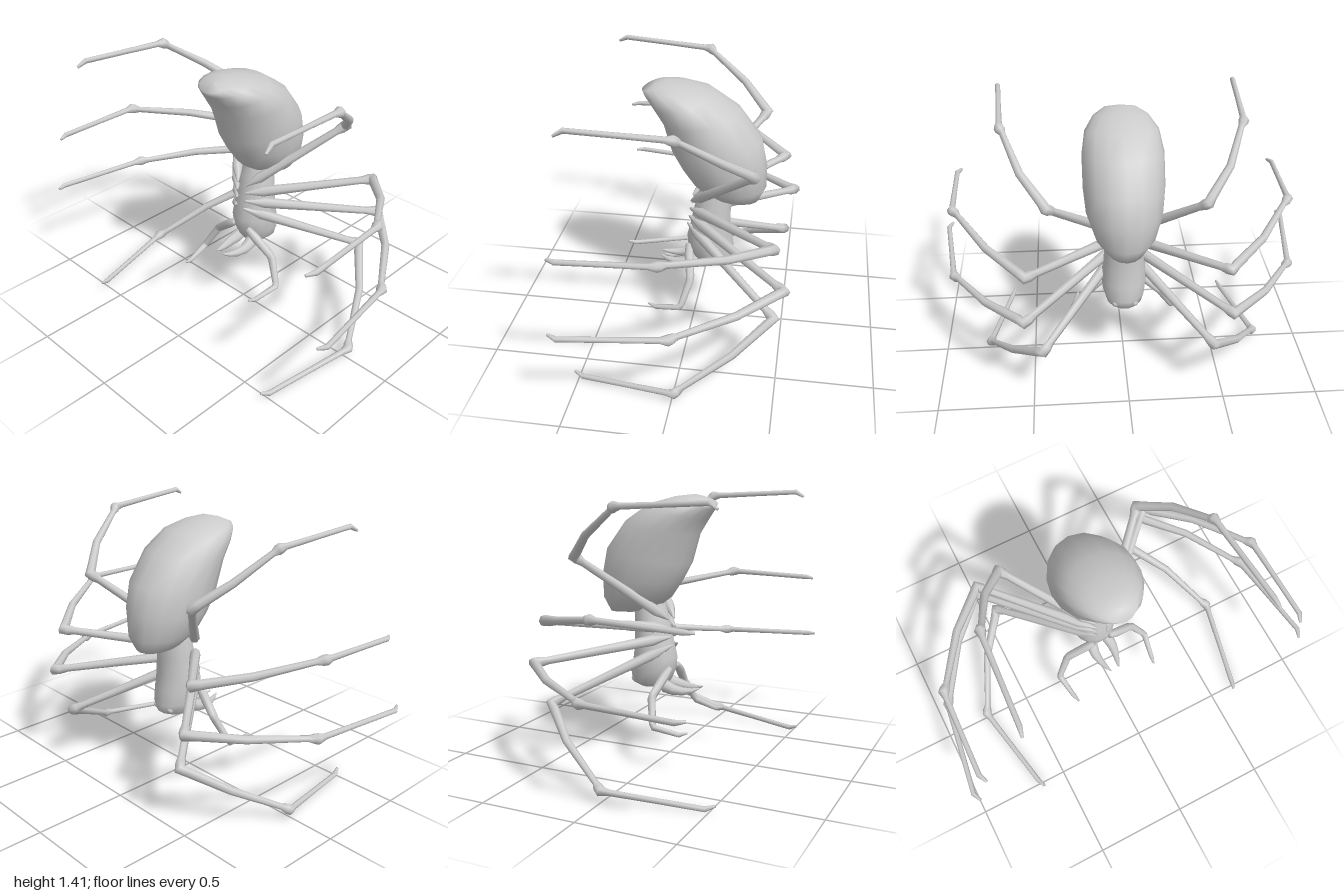
import * as THREE from 'three';

const material = new THREE.MeshStandardMaterial({ color: 0xcccccc });
const V = (x, y, z) => new THREE.Vector3(x, y, z);

// Skin over elliptical rings { c: centre, u, v: half axes }
function loft(rings, sides) {
  const pos = [], index = [];
  for (const { c, u, v } of rings) {
    for (let j = 0; j < sides; j++) {
      const a = (j / sides) * Math.PI * 2;
      const p = c.clone().addScaledVector(u, Math.cos(a)).addScaledVector(v, Math.sin(a));
      pos.push(p.x, p.y, p.z);
    }
  }
  for (let i = 0; i < rings.length - 1; i++) {
    for (let j = 0; j < sides; j++) {
      const k = (j + 1) % sides;
      const a = i * sides + j, b = i * sides + k;
      index.push(a, b, b + sides, a, b + sides, a + sides);
    }
  }
  const g = new THREE.BufferGeometry();
  g.setAttribute('position', new THREE.Float32BufferAttribute(pos, 3));
  g.setIndex(index);
  g.computeVertexNormals();
  return g;
}

// Body shape from rows [front z, front y, back z, back y, half width]
function bodyGeometry(rows, sides) {
  return loft(rows.map(([fz, fy, bz, by, w]) => ({
    c: V(0, (fy + by) / 2, (fz + bz) / 2),
    u: V(w, 0, 0),
    v: V(0, (by - fy) / 2, (bz - fz) / 2),
  })), sides);
}

// Limb along [point, radius] stations, closed at both ends
function limbGeometry(stations, sides = 7) {
  const n = stations.length;
  let u = V(0.31, 0.9, 0.3);
  const rings = stations.map(([p, r], i) => {
    const t = V(0, 0, 0);
    if (i > 0) t.add(p.clone().sub(stations[i - 1][0]).normalize());
    if (i < n - 1) t.add(stations[i + 1][0].clone().sub(p).normalize());
    t.normalize();
    u = u.clone().addScaledVector(t, -u.dot(t)).normalize();
    const v = t.clone().cross(u);
    return { c: p, u: u.clone().multiplyScalar(r), v: v.multiplyScalar(r) };
  });
  const cap = (r) => ({ c: r.c, u: V(0, 0, 0), v: V(0, 0, 0) });
  return loft([cap(rings[0]), ...rings, cap(rings[n - 1])], sides);
}

export function createModel() {
  const model = new THREE.Group();
  model.name = 'spider';
  const add = (name, geometry) => {
    const m = new THREE.Mesh(geometry, material);
    m.name = name;
    model.add(m);
    return m;
  };

  // Abdomen, rising to a forward-leaning tip
  add('abdomen', bodyGeometry([
    [-0.23, 0.768, -0.23, 0.768, 0],
    [-0.08, 0.8, -0.345, 0.775, 0.1],
    [0.0, 0.86, -0.38, 0.85, 0.157],
    [0.06, 0.95, -0.38, 0.98, 0.195],
    [0.115, 1.05, -0.35, 1.12, 0.207],
    [0.155, 1.2, -0.235, 1.27, 0.207],
    [0.205, 1.28, -0.1, 1.36, 0.188],
    [0.245, 1.335, 0.03, 1.395, 0.14],
    [0.26, 1.36, 0.13, 1.407, 0.08],
    [0.2, 1.39, 0.2, 1.39, 0],
  ], 16));

  // Head and thorax in one piece, head downward
  add('headAndThorax', bodyGeometry([
    [-0.1, 0.374, -0.1, 0.374, 0],
    [-0.02, 0.385, -0.17, 0.375, 0.065],
    [0.005, 0.42, -0.21, 0.395, 0.098],
    [0.03, 0.48, -0.222, 0.44, 0.113],
    [0.035, 0.54, -0.21, 0.52, 0.12],
    [0.015, 0.62, -0.198, 0.6, 0.113],
    [0.0, 0.7, -0.198, 0.7, 0.103],
    [-0.02, 0.78, -0.2, 0.78, 0.095],
    [-0.05, 0.86, -0.2, 0.85, 0.08],
  ], 14));

  // Leg joints on the left side: root, knee, ankle, bend of the claw, claw tip
  const legs = {
    rearLeg: [[0.03, 0.75, 0.01], [0.39, 1.105, -0.35], [0.605, 1.372, 0], [0.635, 1.4, 0.48], [0.645, 1.375, 0.525]],
    midRearLeg: [[0.03, 0.705, 0.015], [0.505, 0.79, -0.46], [0.885, 0.9, 0.03], [0.9, 0.888, 0.48], [0.88, 0.885, 0.525]],
    midFrontLeg: [[0.03, 0.658, 0.02], [0.52, 0.567, -0.52], [0.91, 0.522, -0.02], [0.985, 0.528, 0.48], [0.965, 0.533, 0.525]],
    frontLeg: [[0.03, 0.615, 0.03], [0.44, 0.34, -0.475], [0.75, 0.056, -0.01], [0.65, 0.018, 0.48], [0.633, 0.035, 0.525]],
  };

  for (const [side, s] of [['left', 1], ['right', -1]]) {
    const P = ([x, y, z]) => V(s * x, y, z);
    const label = (name) => side + name[0].toUpperCase() + name.slice(1);
    const bow = P([0.022, 0, -0.016]);

    // Legs with swollen knees and ankles and a bowed shin
    for (const [name, joints] of Object.entries(legs)) {
      const [root, knee, ankle, bend, tip] = joints.map(P);
      const at = (a, b, t) => a.clone().lerp(b, t);
      add(label(name), limbGeometry([
        [root, 0.005], [at(root, knee, 0.14), 0.029], [at(root, knee, 0.5), 0.024],
        [at(root, knee, 0.9), 0.02], [at(root, knee, 0.96), 0.028], [knee, 0.029],
        [at(knee, ankle, 0.07), 0.025], [at(knee, ankle, 0.45).add(bow), 0.021],
        [at(knee, ankle, 0.92), 0.016], [at(knee, ankle, 0.97), 0.026],
        [ankle, 0.027], [at(ankle, bend, 0.07), 0.016],
        [at(ankle, bend, 0.5), 0.014], [bend, 0.014], [tip, 0.007],
      ]));
    }

    // Feelers beside the mouth
    add(label('feeler'), limbGeometry([
      [P([0.05, 0.49, 0.02]), 0.018], [P([0.1, 0.455, 0.012]), 0.025],
      [P([0.19, 0.38, -0.008]), 0.023], [P([0.208, 0.36, -0.008]), 0.022],
      [P([0.27, 0.25, 0.027]), 0.018], [P([0.278, 0.232, 0.04]), 0.018],
      [P([0.255, 0.205, 0.17]), 0.013], [P([0.245, 0.217, 0.212]), 0.005],
    ]));

    // Curved fangs
    add(label('fang'), limbGeometry([
      [P([0.035, 0.42, -0.05]), 0.03], [P([0.05, 0.388, 0.0]), 0.034],
      [P([0.055, 0.376, 0.05]), 0.028], [P([0.048, 0.373, 0.1]), 0.021],
      [P([0.036, 0.379, 0.145]), 0.013], [P([0.024, 0.393, 0.182]), 0.003],
    ], 8));

    // Eyes, set into the underside of the head
    for (const [x, y, z, r] of [[0.03, 0.392, -0.13, 0.02], [0.05, 0.418, -0.185, 0.02]]) {
      add(label('eye'), new THREE.SphereGeometry(r, 10, 8)).position.set(s * x, y, z);
    }
  }
  return model;
}
